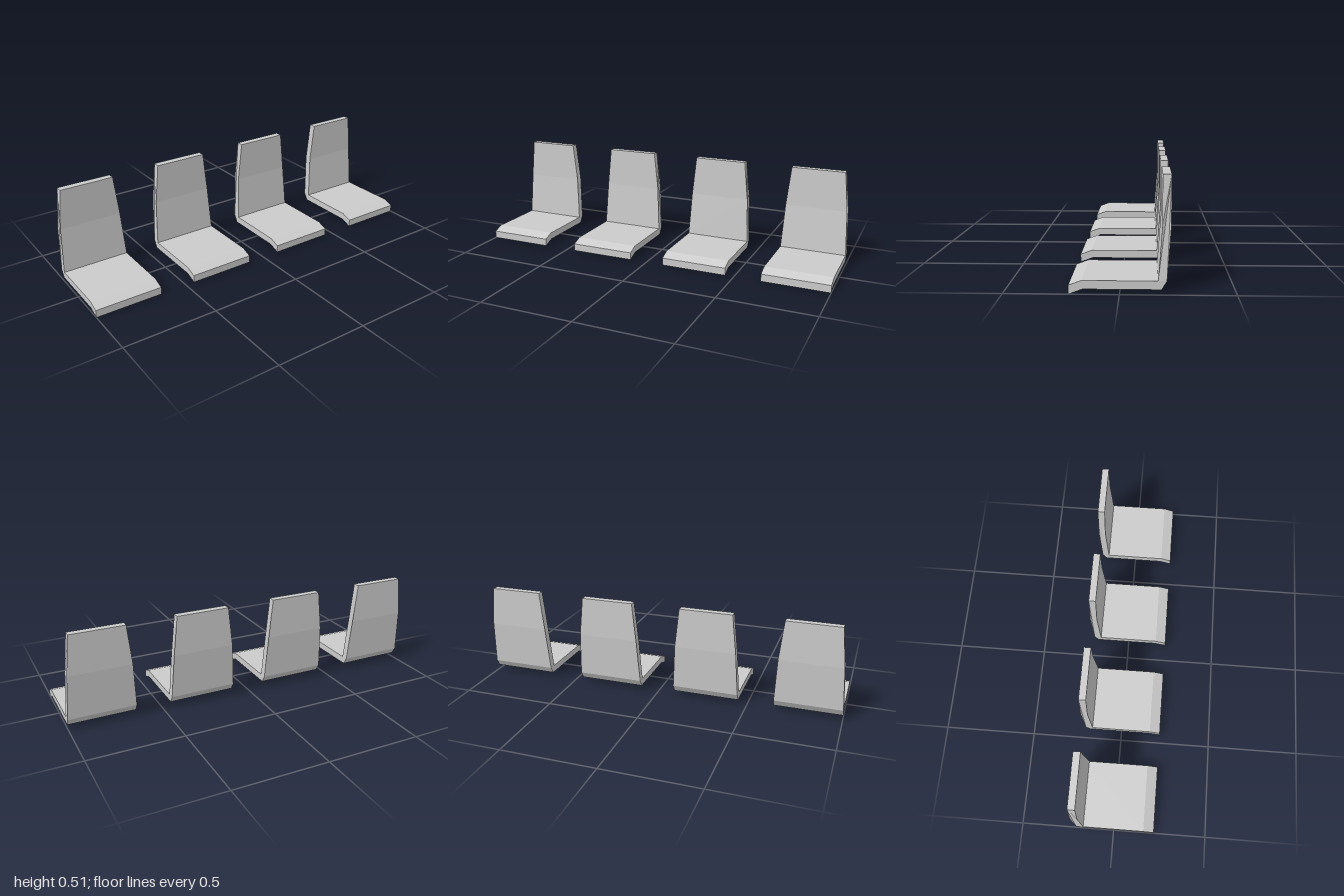
import * as THREE from 'three';

// Side profile of the bent shell: underside and back face, then the sitting face
const PROFILE = [
  [0.218, 0], [0.157, 0.023], [-0.179, 0.023], [-0.202, 0.061], [-0.219, 0.3], [-0.219, 0.512],
  [-0.181, 0.512], [-0.181, 0.3], [-0.164, 0.061], [0.161, 0.061], [0.218, 0.04],
];

// Half the width of the shell at a given height: the backrest tapers upwards
function halfWidth(y) {
  if (y < 0.07) return 0.178;
  return y < 0.4 ? 0.165 : 0.142;
}

function seatGeometry() {
  const shape = new THREE.Shape(PROFILE.map(([x, y]) => new THREE.Vector2(x, y)));
  const geometry = new THREE.ExtrudeGeometry(shape, { depth: 1, steps: 1, bevelEnabled: false });
  const pos = geometry.attributes.position;
  for (let i = 0; i < pos.count; i++) {
    pos.setZ(i, (pos.getZ(i) * 2 - 1) * halfWidth(pos.getY(i)));
  }
  geometry.computeVertexNormals();
  return geometry;
}

export function createModel() {
  const group = new THREE.Group();
  group.name = 'seatRow';
  const material = new THREE.MeshStandardMaterial({ color: 0xcccccc, flatShading: true });
  const geometry = seatGeometry();

  // Four equal seats in a row along z
  for (let i = 0; i < 4; i++) {
    const seat = new THREE.Mesh(geometry, material);
    seat.name = `seat${i + 1}`;
    seat.position.z = (i - 1.5) * 0.548;
    group.add(seat);
  }
  return group;
}
